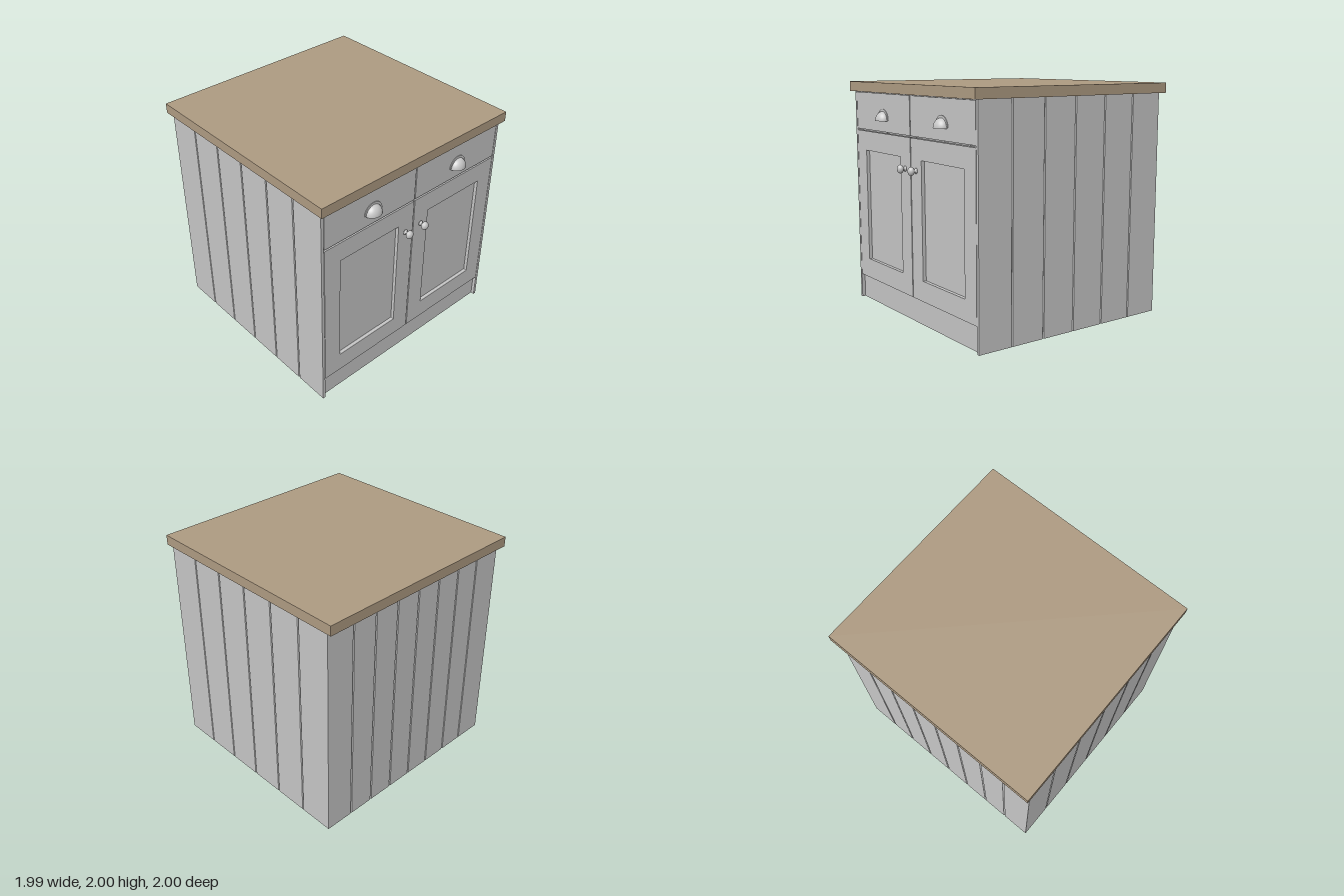
import * as THREE from 'three';

const paint = new THREE.MeshStandardMaterial({ color: 0xc6c6c6 });
paint.name = 'grey paint';
const wood = new THREE.MeshStandardMaterial({ color: 0xae9b82 });
wood.name = 'worktop wood';
const metal = new THREE.MeshStandardMaterial({ color: 0xc9c9c9, side: THREE.DoubleSide });
metal.name = 'handle metal';

const FRONT = 0.922, BACK = -0.942, HALF = 0.97, THICK = 0.025, WALL_TOP = 1.915;

function add(parent, name, geometry, material, x = 0, y = 0, z = 0) {
  const mesh = new THREE.Mesh(geometry, material);
  mesh.name = name;
  mesh.position.set(x, y, z);
  parent.add(mesh);
  return mesh;
}

// Box given by its limits
function block(parent, name, material, x0, x1, y0, y1, z0, z1) {
  return add(parent, name, new THREE.BoxGeometry(x1 - x0, y1 - y0, z1 - z0), material,
    (x0 + x1) / 2, (y0 + y1) / 2, (z0 + z1) / 2);
}

// Tongue-and-groove wall: plan outline with V grooves on both faces, extruded upwards
function plankWall(length, count) {
  const pts = [], step = length / count, w = 0.007, d = 0.008, h = THICK / 2;
  for (const s of [1, -1]) {
    pts.push([-s * length / 2, -s * h]);
    for (let i = 1; i < count; i++) {
      const u = s * (-length / 2 + i * step);
      pts.push([u - s * w, -s * h], [u, -s * (h - d)], [u + s * w, -s * h]);
    }
    pts.push([s * length / 2, -s * h]);
  }
  const shape = new THREE.Shape(pts.map(p => new THREE.Vector2(...p)));
  const geo = new THREE.ExtrudeGeometry(shape, { depth: WALL_TOP, bevelEnabled: false });
  return geo.rotateX(-Math.PI / 2);
}

function rect(path, x0, x1, y0, y1) {
  path.moveTo(x0, y0);
  path.lineTo(x1, y0);
  path.lineTo(x1, y1);
  path.lineTo(x0, y1);
  path.closePath();
  return path;
}

// Door frame around a recessed panel
function door(side) {
  const group = new THREE.Group();
  group.name = side > 0 ? 'leftDoor' : 'rightDoor';
  const span = (a, b) => (side > 0 ? [a, b] : [-b, -a]);
  const hole = span(0.167, 0.783);
  const shape = rect(new THREE.Shape(), ...span(0.005, 0.94), 0.22, 1.565);
  shape.holes.push(rect(new THREE.Path(), ...hole, 0.395, 1.393));
  add(group, 'doorFrame', new THREE.ExtrudeGeometry(shape, { depth: 0.04, bevelEnabled: false }),
    paint, 0, 0, FRONT - 0.04);
  block(group, 'doorPanel', paint, ...hole, 0.395, 1.393, FRONT - 0.04, FRONT - 0.03);

  // Turned knob
  const profile = [[0, 0], [0.022, 0], [0.021, 0.006], [0.012, 0.012], [0.011, 0.022],
    [0.022, 0.029], [0.032, 0.039], [0.034, 0.051], [0.029, 0.064], [0.017, 0.073], [0, 0.077]];
  const knob = new THREE.LatheGeometry(profile.map(p => new THREE.Vector2(...p)), 24);
  knob.rotateX(Math.PI / 2).scale(1, 1.08, 1);
  add(group, 'knob', knob, metal, side * 0.088, 1.302, FRONT);
  return group;
}

// Drawer front with a cup pull open at the bottom
function drawer(side) {
  const group = new THREE.Group();
  group.name = side > 0 ? 'leftDrawer' : 'rightDrawer';
  const [x0, x1] = side > 0 ? [0.005, 0.94] : [-0.94, -0.005];
  block(group, 'drawerFront', paint, x0, x1, 1.58, 1.907, FRONT - 0.04, FRONT);

  const x = side > 0 ? 0.483 : -0.456;
  const cup = new THREE.SphereGeometry(1, 24, 10, 0, Math.PI, 0, Math.PI / 2);
  cup.scale(0.077, 0.08, 0.066);
  add(group, 'cupPull', cup, metal, x, 1.676, FRONT);

  const flange = new THREE.Shape();
  flange.absarc(0, 0, 0.09, 0, Math.PI, false);
  flange.lineTo(-0.07, 0);
  flange.absarc(0, 0, 0.07, Math.PI, 0, true);
  flange.closePath();
  add(group, 'cupFlange', new THREE.ExtrudeGeometry(flange,
    { depth: 0.006, bevelEnabled: false, curveSegments: 24 }), metal, x, 1.685, FRONT);
  return group;
}

export function createModel() {
  const model = new THREE.Group();
  model.name = 'cupboard';

  block(model, 'worktop', wood, -0.995, 0.995, WALL_TOP, 2, -1, 0.963);

  // Plank walls, open underneath
  for (const side of [1, -1]) {
    const wall = add(model, side > 0 ? 'leftWall' : 'rightWall', plankWall(FRONT - BACK, 6), paint,
      side * (HALF - THICK / 2), 0, (FRONT + BACK) / 2);
    wall.rotation.y = Math.PI / 2;
  }
  add(model, 'backWall', plankWall(2 * (HALF - THICK), 8), paint, 0, 0, BACK + THICK / 2);

  // Front
  block(model, 'plinth', paint, -0.945, 0.945, 0, 0.208, FRONT - 0.055, FRONT - 0.03);
  for (const side of [1, -1]) model.add(door(side), drawer(side));

  return model;
}
